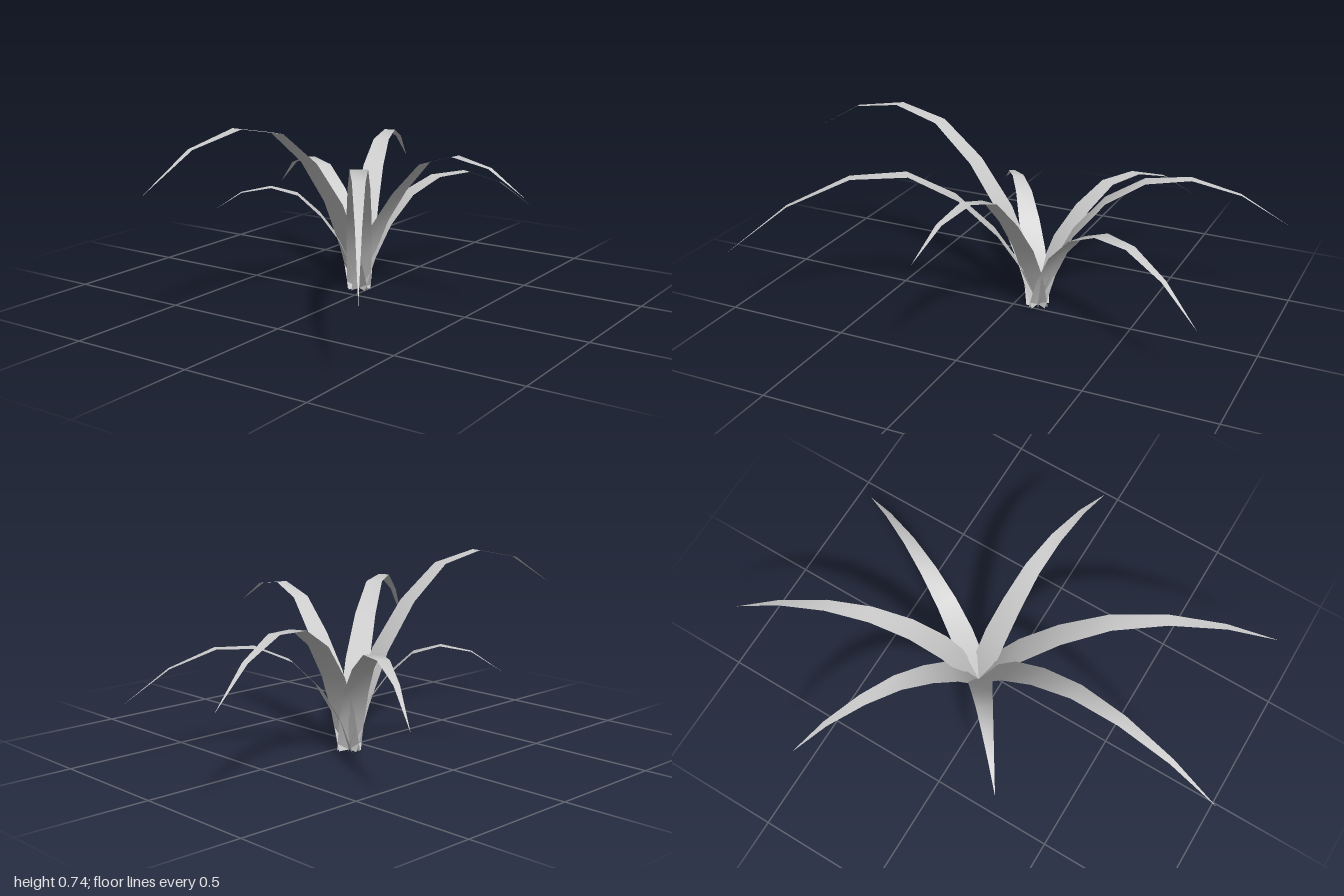
import * as THREE from 'three';

// Point where all blades grow from the ground
const ROOT = { x: -0.04, z: -0.09 };

// Outward reach and width of a blade at each cross-section, from root to tip
const REACH = [0, 0.055, 0.14, 0.265, 0.42, 0.6, 0.8, 1];
const WIDTH = [0.095, 0.1, 0.098, 0.084, 0.066, 0.046, 0.023, 0];

// Tip position and arching height profile of each blade
const BLADES = [
  { name: 'backLeaf', x: -0.38, z: -1.0, heights: [0, 0.16, 0.32, 0.46, 0.545, 0.56, 0.5, 0.375] },
  { name: 'backLeftLeaf', x: 0.35, z: -0.86, heights: [0, 0.13, 0.26, 0.37, 0.43, 0.435, 0.37, 0.245] },
  { name: 'leftLeaf', x: 0.75, z: 0.03, heights: [0, 0.15, 0.29, 0.43, 0.56, 0.605, 0.58, 0.49] },
  { name: 'frontLeftLeaf', x: 0.63, z: 0.91, heights: [0, 0.17, 0.33, 0.485, 0.59, 0.59, 0.49, 0.31] },
  { name: 'frontLeaf', x: -0.17, z: 1.0, heights: [0, 0.18, 0.38, 0.56, 0.695, 0.735, 0.69, 0.56] },
  { name: 'frontRightLeaf', x: -0.5, z: 0.27, heights: [0, 0.1, 0.21, 0.31, 0.395, 0.425, 0.405, 0.33] },
  { name: 'rightLeaf', x: -0.75, z: -0.5, heights: [0, 0.13, 0.26, 0.37, 0.45, 0.46, 0.41, 0.29] },
];

// Flat tapering ribbon arching from the root to a pointed tip
function bladeGeometry({ x, z, heights }) {
  const dx = x - ROOT.x, dz = z - ROOT.z;
  const length = Math.hypot(dx, dz);
  const positions = [], indices = [];
  const last = REACH.length - 1;
  REACH.forEach((reach, i) => {
    const cx = ROOT.x + dx * reach, cz = ROOT.z + dz * reach;
    const sx = (dz / length) * WIDTH[i] / 2, sz = (-dx / length) * WIDTH[i] / 2;
    positions.push(cx + sx, heights[i], cz + sz);
    if (i === last) return;
    positions.push(cx - sx, heights[i], cz - sz);
    const a = i * 2;
    indices.push(a, a + 1, a + 2);
    if (i < last - 1) indices.push(a + 1, a + 3, a + 2);
  });
  const geometry = new THREE.BufferGeometry();
  geometry.setAttribute('position', new THREE.Float32BufferAttribute(positions, 3));
  geometry.setIndex(indices);
  geometry.computeVertexNormals();
  return geometry;
}

export function createModel() {
  const plant = new THREE.Group();
  plant.name = 'plant';
  const leafMaterial = new THREE.MeshStandardMaterial({ color: 0xcccccc, side: THREE.DoubleSide });
  leafMaterial.name = 'light grey';
  for (const blade of BLADES) {
    const leaf = new THREE.Mesh(bladeGeometry(blade), leafMaterial);
    leaf.name = blade.name;
    plant.add(leaf);
  }
  return plant;
}
